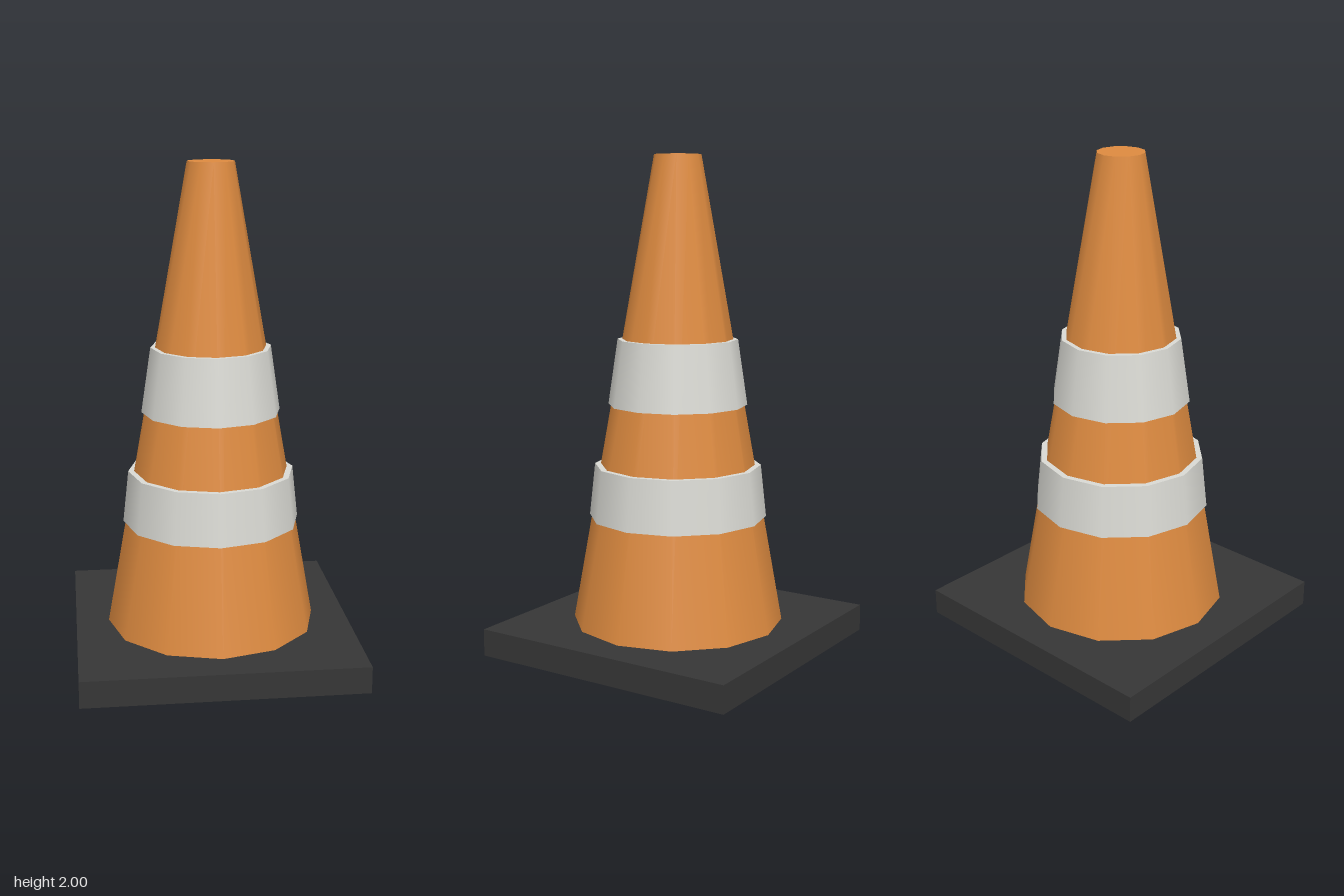
import * as THREE from 'three';

const SIDES = 12;
const BASE_TOP = 0.11;

function material(name, color) {
  const m = new THREE.MeshStandardMaterial({ color });
  m.name = name;
  return m;
}

// Twelve-sided tapered solid between two heights
function taper(name, rBottom, rTop, y0, y1, mat) {
  const geometry = new THREE.CylinderGeometry(rTop, rBottom, y1 - y0, SIDES);
  geometry.translate(0, (y0 + y1) / 2, 0);
  const mesh = new THREE.Mesh(geometry, mat);
  mesh.name = name;
  return mesh;
}

export function createModel() {
  const orange = material('orange', 0xde8b40);
  const reflective = material('reflectiveWhite', 0xdadad4);
  const rubber = material('darkRubber', 0x363636);

  const group = new THREE.Group();
  group.name = 'trafficCone';

  // Square foot
  const base = new THREE.Mesh(new THREE.BoxGeometry(1.13, BASE_TOP, 1.13), rubber);
  base.name = 'base';
  base.position.y = BASE_TOP / 2;
  group.add(base);

  // Cone body with flat closed tip
  group.add(taper('coneBody', 0.43, 0.094, BASE_TOP, 2, orange));

  // Raised reflective collars
  group.add(taper('lowerBand', 0.362, 0.339, 0.545, 0.758, reflective));
  group.add(taper('upperBand', 0.282, 0.243, 1.005, 1.27, reflective));

  return group;
}
